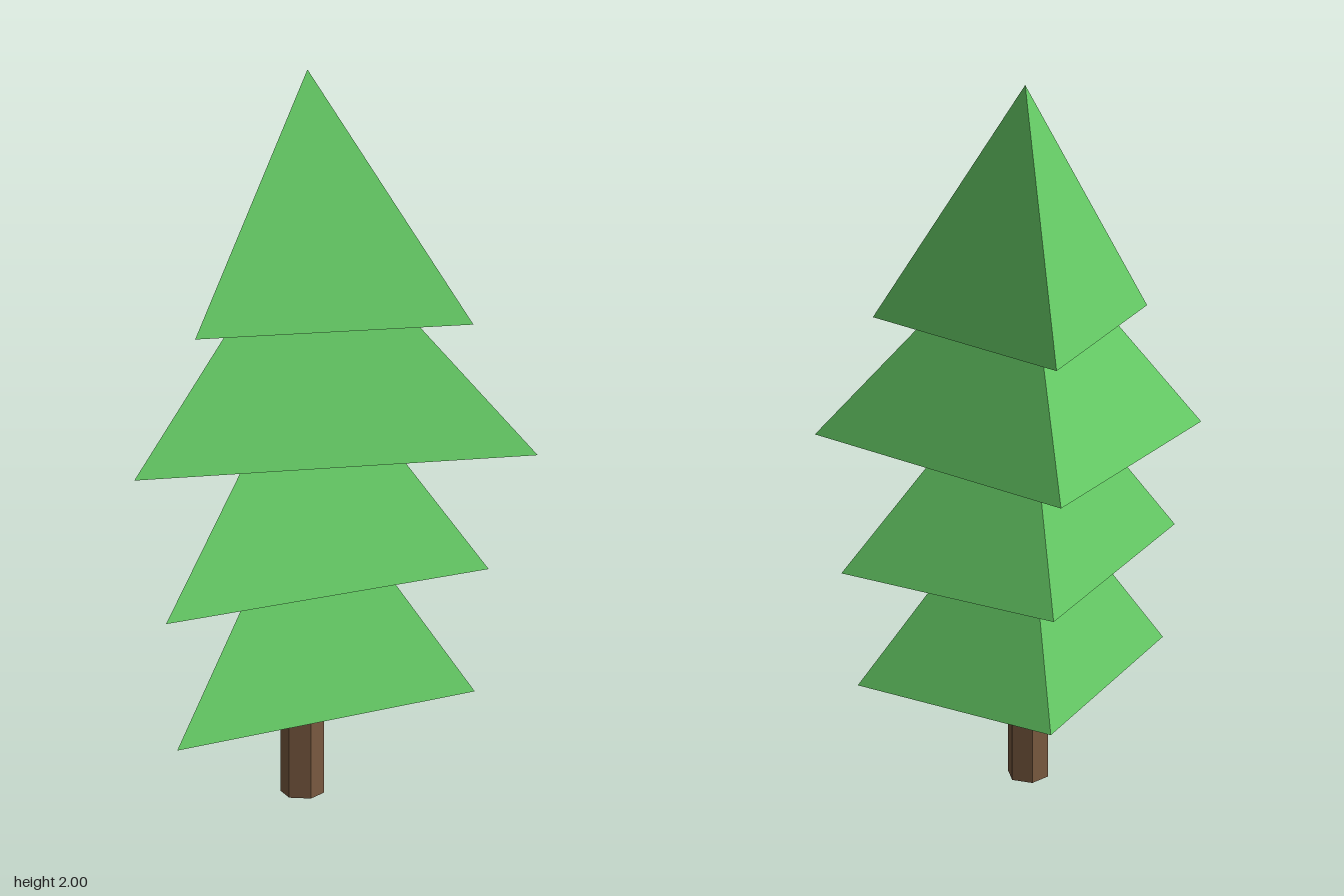
import * as THREE from 'three';

const needleGreen = new THREE.MeshStandardMaterial({ color: 0x66cc66 });
needleGreen.name = 'needle green';
const barkBrown = new THREE.MeshStandardMaterial({ color: 0x7a5a40 });
barkBrown.name = 'bark brown';

const TIER_HEIGHT = 0.67;
const AXIS_Z = 0.088;

// Three-sided pyramid with a closed base; corners run right, back, left
function pyramid(y, corners) {
  const apex = [0, y + TIER_HEIGHT, AXIS_Z];
  const base = corners.map(([x, z]) => [x, y, z]);
  const points = [];
  base.forEach((corner, i) => points.push(corner, base[(i + 1) % 3], apex));
  points.push(base[2], base[1], base[0]);
  const geometry = new THREE.BufferGeometry();
  geometry.setAttribute('position', new THREE.Float32BufferAttribute(points.flat(), 3));
  geometry.computeVertexNormals();
  return geometry;
}

export function createModel() {
  const tree = new THREE.Group();
  tree.name = 'pineTree';

  // Six-sided trunk, running up into the lowest tier
  const trunkHeight = 0.45;
  const trunkGeometry = new THREE.CylinderGeometry(0.061, 0.061, trunkHeight, 6).toNonIndexed();
  trunkGeometry.computeVertexNormals();
  const trunk = new THREE.Mesh(trunkGeometry, barkBrown);
  trunk.name = 'trunk';
  trunk.position.set(0, trunkHeight / 2, 0.057);
  tree.add(trunk);

  // Foliage tiers from bottom to top, each twisted a little differently
  const tiers = [
    { y: 0.27, width: 0.475, right: 0.18, back: -0.253, left: 0.34 },
    { y: 0.62, width: 0.513, right: 0.18, back: -0.285, left: 0.37 },
    { y: 0.975, width: 0.555, right: 0.37, back: -0.37, left: 0.26 },
    { y: 1.33, width: 0.39, right: 0.302, back: -0.31, left: 0.27 },
  ];
  tiers.forEach(({ y, width, right, back, left }, i) => {
    const tier = new THREE.Mesh(pyramid(y, [[width, right], [0, back], [-width, left]]), needleGreen);
    tier.name = `foliageTier${i + 1}`;
    tree.add(tier);
  });

  return tree;
}
